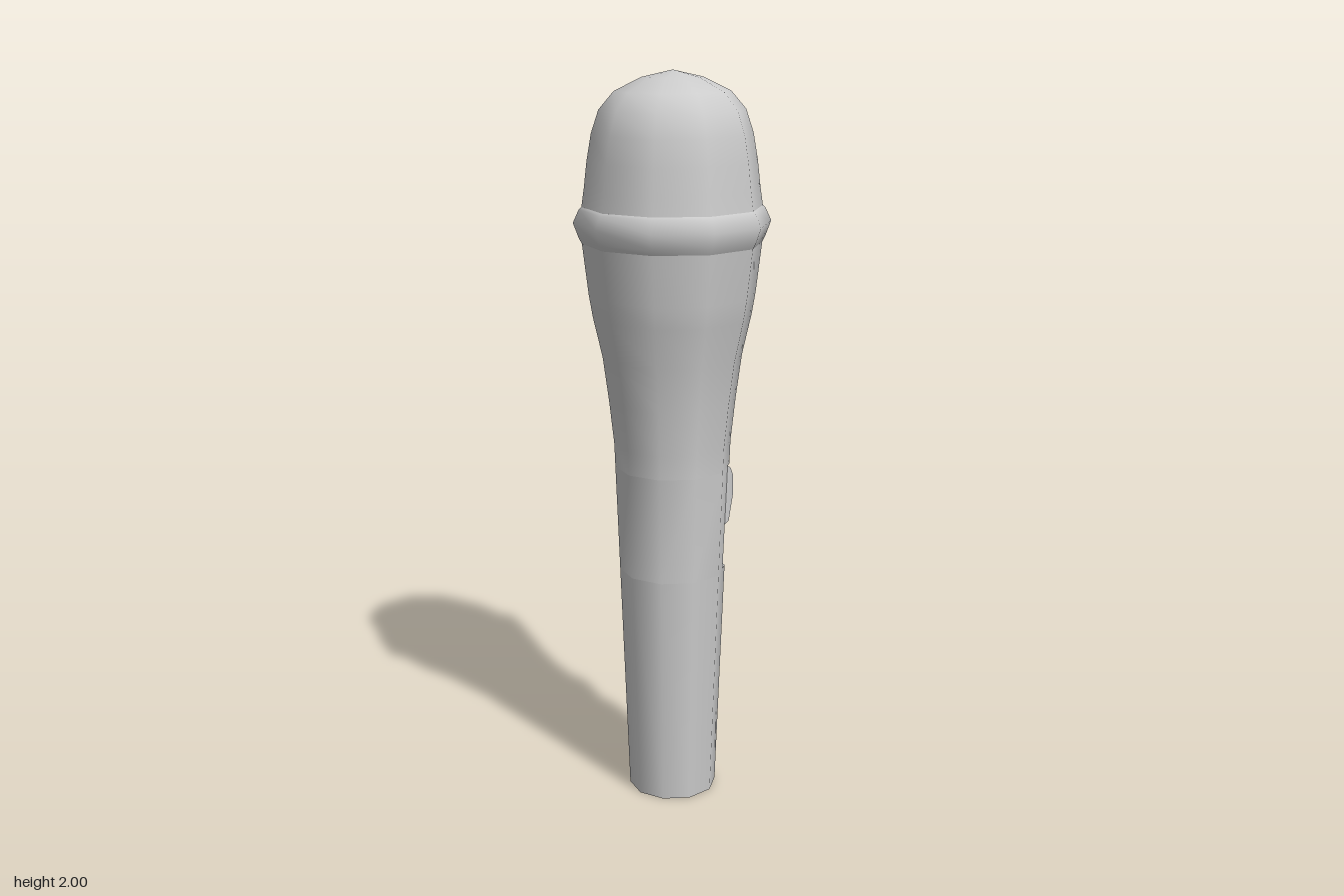
import * as THREE from 'three';
import { toCreasedNormals } from 'three/addons/utils/BufferGeometryUtils.js';

const SIDES = 10;
const STEP = Math.PI * 2 / SIDES;
const material = new THREE.MeshStandardMaterial({ color: 0xcccccc, side: THREE.DoubleSide });

// Switch slot, cut into the +x side of the handle
const SLOT = { bottom: 0.65, top: 0.945, front: 0.07, back: -0.058, floor: 0.105 };

const handleRadius = y => 0.122 + 0.037 * y / 1.01;

function addPart(group, name, geometry) {
  const mesh = new THREE.Mesh(geometry, material);
  mesh.name = name;
  group.add(mesh);
  return mesh;
}

// Ten-sided turned part from [radius, height] pairs, listed bottom to top
function turned(profile) {
  return new THREE.LatheGeometry(profile.map(p => new THREE.Vector2(p[0], p[1])), SIDES);
}

// Creased geometry from convex polygons, each a counter-clockwise list of points
function fromPolygons(polygons, crease) {
  const pos = [];
  for (const p of polygons)
    for (let i = 1; i < p.length - 1; i++) pos.push(...p[0], ...p[i], ...p[i + 1]);
  const g = new THREE.BufferGeometry();
  g.setAttribute('position', new THREE.Float32BufferAttribute(pos, 3));
  return toCreasedNormals(g, crease);
}

// Corner of the ten-sided handle at height y
function corner(i, y) {
  const r = handleRadius(y);
  return [r * Math.sin(i * STEP), y, r * Math.cos(i * STEP)];
}

// Point where the slot edge at depth z meets the handle wall
function slotEdge(z, y) {
  const a = corner(2, y), b = corner(1, y);
  const t = (Math.abs(z) - a[2]) / (b[2] - a[2]);
  return [a[0] + (b[0] - a[0]) * t, y, z];
}

// Handle section around the switch, with the recessed slot
function slottedSection() {
  const ring = y => {
    const pts = [slotEdge(SLOT.back, y)];
    for (let i = 4; i <= 11; i++) pts.push(corner(i, y));
    pts.push(slotEdge(SLOT.front, y));
    // the slot walls and floor close the loop
    pts.push([SLOT.floor, y, SLOT.front], [SLOT.floor, y, SLOT.back]);
    return pts;
  };
  const ledge = y => [slotEdge(SLOT.front, y), corner(2, y), corner(3, y), slotEdge(SLOT.back, y),
    [SLOT.floor, y, SLOT.back], [SLOT.floor, y, SLOT.front]];
  const lo = ring(SLOT.bottom), hi = ring(SLOT.top);
  const polygons = lo.map((p, i) => {
    const j = (i + 1) % lo.length;
    return [p, lo[j], hi[j], hi[i]];
  });
  polygons.push(ledge(SLOT.bottom), ledge(SLOT.top).reverse());
  return fromPolygons(polygons, 0.8);
}

// Sliding button: rectangles stacked outward along x, rounded towards the face
function switchButton() {
  const mid = (SLOT.front + SLOT.back) / 2;
  // [half width, low y, low x, high y, high x]
  const layers = [
    [0.062, 0.772, 0.105, 0.943, 0.105],
    [0.062, 0.772, 0.122, 0.943, 0.137],
    [0.056, 0.785, 0.142, 0.935, 0.147],
    [0.044, 0.855, 0.160, 0.910, 0.160],
  ].map(([w, y0, x0, y1, x1]) => [
    [x0, y0, mid + w], [x0, y0, mid - w], [x1, y1, mid - w], [x1, y1, mid + w],
  ]);
  const polygons = [layers[layers.length - 1]];
  for (let k = 0; k < layers.length - 1; k++)
    for (let i = 0; i < 4; i++) {
      const j = (i + 1) % 4;
      polygons.push([layers[k][i], layers[k][j], layers[k + 1][j], layers[k + 1][i]]);
    }
  return fromPolygons(polygons, 0.75);
}

export function createModel() {
  const model = new THREE.Group();
  model.name = 'microphone';

  // Handle: lower tube, slotted section, flared upper part and end cap
  addPart(model, 'lowerHandle', turned([[handleRadius(0), 0], [handleRadius(SLOT.bottom), SLOT.bottom]]));
  addPart(model, 'switchSection', slottedSection());
  addPart(model, 'upperHandle', turned([
    [handleRadius(SLOT.top), SLOT.top], [0.159, 1.01], [0.172, 1.13], [0.188, 1.25],
    [0.213, 1.36], [0.223, 1.42], [0.239, 1.555],
  ]));
  const cap = new THREE.CircleGeometry(handleRadius(0), SIDES, Math.PI / 2);
  addPart(model, 'endCap', cap.rotateX(Math.PI / 2));

  // Switch
  addPart(model, 'switchButton', switchButton());

  // Collar ring between handle and head
  addPart(model, 'collar', turned([[0.239, 1.555], [0.247, 1.57], [0.262, 1.61], [0.246, 1.645], [0.238, 1.652]]));

  // Domed grille head
  addPart(model, 'grilleHead', turned([
    [0.242, 1.63], [0.232, 1.70], [0.224, 1.77], [0.212, 1.84], [0.192, 1.90],
    [0.152, 1.947], [0.08, 1.982], [0, 2],
  ]));

  return model;
}
